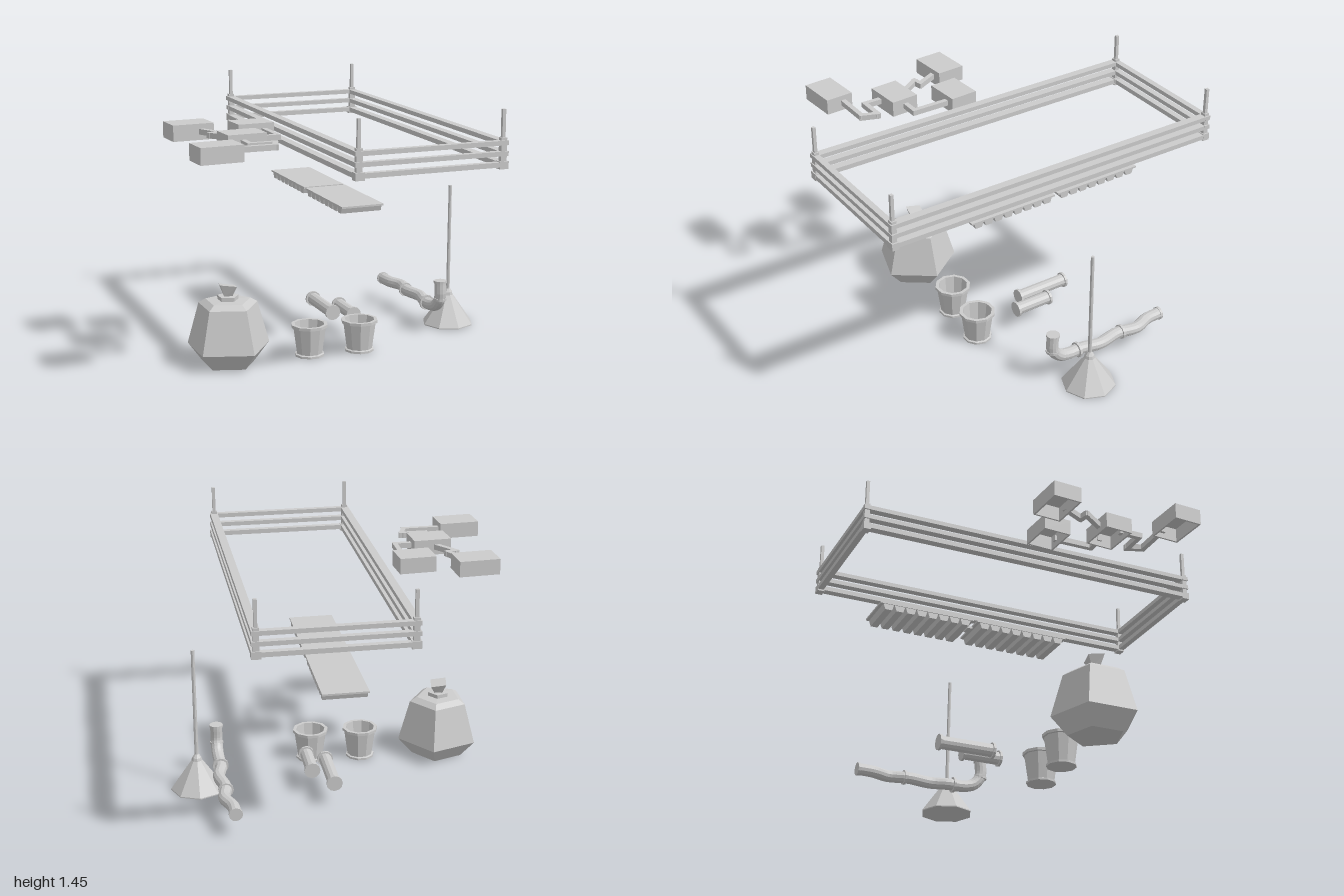
import * as THREE from 'three';

const grey = new THREE.MeshStandardMaterial({ color: 0xcccccc, flatShading: true, side: THREE.DoubleSide });
const V = (x, y, z) => new THREE.Vector3(x, y, z);

function add(parent, name, geometry, x = 0, y = 0, z = 0) {
  const mesh = new THREE.Mesh(geometry, grey);
  mesh.name = name;
  mesh.position.set(x, y, z);
  parent.add(mesh);
  return mesh;
}

function group(parent, name, x = 0, y = 0, z = 0) {
  const g = new THREE.Group();
  g.name = name;
  g.position.set(x, y, z);
  parent.add(g);
  return g;
}

// box given by its lower and upper corners
function block(parent, name, x0, x1, y0, y1, z0, z1) {
  return add(parent, name, new THREE.BoxGeometry(x1 - x0, y1 - y0, z1 - z0),
    (x0 + x1) / 2, (y0 + y1) / 2, (z0 + z1) / 2);
}

// revolved profile with a corner pointing at +x
function turned(parent, name, profile, sides) {
  const points = profile.map(([r, y]) => new THREE.Vector2(r, y));
  return add(parent, name, new THREE.LatheGeometry(points, sides, Math.PI / 2));
}

// rectangular fence: three rails on each side, corner posts and thin poles
function buildFence(root) {
  const fence = group(root, 'railFrame', 0.16, 0, 0);
  const hx = 0.42, hz = 1;
  for (const [y0, y1, w] of [[1.15, 1.176, 0.046], [1.207, 1.231, 0.044], [1.262, 1.286, 0.044]]) {
    for (const s of [-1, 1]) {
      const cx = s * (hx - 0.023), cz = s * (hz - 0.018);
      block(fence, 'sideRail', cx - w / 2, cx + w / 2, y0, y1, -hz + 0.005, hz - 0.005);
      block(fence, 'endRail', -hx, hx, y0, y1, cz - 0.017, cz + 0.017);
    }
  }
  for (const sx of [-1, 1]) for (const sz of [-1, 1]) {
    const x = sx * 0.396, z = sz * 0.98;
    block(fence, 'postFoot', x - 0.025, x + 0.025, 1.14, 1.18, z - 0.02, z + 0.02);
    block(fence, 'cornerPost', x - 0.016, x + 0.016, 1.14, 1.3, z - 0.014, z + 0.014);
    block(fence, 'cornerPole', x - 0.009, x + 0.009, 1.29, 1.445, z - 0.009, z + 0.009);
  }
}

// flat panel with trapezoid ribs across its underside
function buildPanel(root, z0, z1) {
  const panel = group(root, 'ribbedPanel');
  block(panel, 'panelTop', -0.04, 0.205, 0.838, 0.848, z0, z1);
  const n = 8, start = z0 + 0.015, pitch = (z1 - z0 - 0.03) / n;
  for (let i = 0; i < n; i++) {
    const rib = new THREE.Shape();
    const c = pitch / 2;
    rib.moveTo(-c * 0.95, 0.033);
    rib.lineTo(-c * 0.6, 0);
    rib.lineTo(c * 0.6, 0);
    rib.lineTo(c * 0.95, 0.033);
    const geometry = new THREE.ExtrudeGeometry(rib, { depth: 0.235, bevelEnabled: false });
    geometry.rotateY(Math.PI / 2);
    add(panel, 'panelRib', geometry, -0.035, 0.806, start + pitch * (i + 0.5));
  }
}

// room: four walls under a lid, open at the bottom
function buildRoom(parent, [x, z, w, d]) {
  const room = group(parent, 'room', x, 0, z);
  room.rotation.y = 0.06;
  const t = 0.01;
  block(room, 'roomLid', -w / 2, w / 2, 1.285, 1.295, -d / 2, d / 2);
  for (const s of [-1, 1]) {
    const ex = s * (w - t) / 2, ez = s * (d - t) / 2;
    block(room, 'roomSideWall', ex - t / 2, ex + t / 2, 1.207, 1.286, -d / 2, d / 2);
    block(room, 'roomEndWall', -w / 2, w / 2, 1.207, 1.286, ez - t / 2, ez + t / 2);
  }
}

function buildRooms(root) {
  const rooms = group(root, 'linkedRooms');
  for (const spec of [[-0.768, -0.104, 0.23, 0.163], [-0.449, 0, 0.205, 0.16],
    [-0.6, 0.295, 0.215, 0.16], [-0.83, 0.585, 0.23, 0.16]]) buildRoom(rooms, spec);
  // each passage is a chain of straight boxes
  const passages = [
    [[-0.72, -0.03], [-0.66, 0.09], [-0.71, 0.1], [-0.62, 0.23]],
    [[-0.4, 0.07], [-0.4, 0.285], [-0.5, 0.285]],
    [[-0.62, 0.36], [-0.62, 0.472], [-0.48, 0.472], [-0.51, 0.555], [-0.73, 0.555]],
  ];
  for (const path of passages) for (let i = 1; i < path.length; i++) {
    const [ax, az] = path[i - 1], [bx, bz] = path[i];
    const dx = bx - ax, dz = bz - az;
    const leg = add(rooms, 'passage', new THREE.BoxGeometry(0.028, 0.03, Math.hypot(dx, dz) + 0.026),
      (ax + bx) / 2, 1.252, (az + bz) / 2);
    leg.rotation.y = Math.atan2(dx, dz);
  }
}

// tied sack with five sides and a crooked knot
function buildSack(root) {
  const sack = group(root, 'sack', -0.646, 0, 0.16);
  turned(sack, 'sackBody', [[0, 0], [0.15, 0.002], [0.234, 0.1], [0.168, 0.333], [0.128, 0.358], [0, 0.364]], 5);
  turned(sack, 'sackNeck', [[0.06, 0.355], [0.06, 0.383], [0, 0.386]], 5);
  const knot = new THREE.CylinderGeometry(0.062, 0.03, 0.06, 4);
  const p = knot.attributes.position;
  for (let i = 0; i < p.count; i++) {
    if (p.getY(i) > 0) p.setY(i, p.getY(i) - p.getX(i) * 0.2);
  }
  add(sack, 'sackKnot', knot, 0, 0.41, 0).rotation.y = 0.6;
}

// hollow bucket with rims top and bottom
function buildBucket(root, x, z) {
  const bucket = group(root, 'bucket', x, 0, z);
  turned(bucket, 'bucketShell', [[0, 0], [0.083, 0], [0.083, 0.012], [0.073, 0.016], [0.093, 0.163],
    [0.103, 0.165], [0.103, 0.181], [0.084, 0.181], [0.067, 0.02], [0, 0.02]], 10);
}

// ring lying across a pipe that runs along z or y
function collar(parent, x, y, z, alongZ, r = 0.045) {
  const ring = add(parent, 'pipeCollar', new THREE.CylinderGeometry(r, r, 0.014, 12), x, y, z);
  if (alongZ) ring.rotation.x = Math.PI / 2;
}

function buildPipes(root) {
  // short straight pipes
  for (const [x, z0, z1] of [[0.07, -0.41, -0.1], [0.165, -0.235, -0.02]]) {
    const pipe = group(root, 'shortPipe');
    add(pipe, 'pipeBody', new THREE.CylinderGeometry(0.036, 0.036, z1 - z0, 12), x, 0.135, (z0 + z1) / 2)
      .rotation.x = Math.PI / 2;
    collar(pipe, x, 0.135, z0, true);
    collar(pipe, x, 0.135, z1, true);
  }
  // long wavy pipe with an upright end
  const pipe = group(root, 'bentPipe');
  const y = 0.135;
  const path = new THREE.CatmullRomCurve3([V(0.665, 0.305, 0.085), V(0.665, 0.21, 0.085), V(0.665, 0.155, 0.04),
    V(0.662, y, -0.03), V(0.662, y, -0.11), V(0.685, y, -0.22), V(0.662, y, -0.36),
    V(0.682, y, -0.48), V(0.648, y, -0.58), V(0.643, y, -0.675)]);
  add(pipe, 'pipeBody', new THREE.TubeGeometry(path, 40, 0.034, 12));
  collar(pipe, 0.665, 0.304, 0.085, false, 0.038);
  collar(pipe, 0.665, 0.2, 0.085, false, 0.038);
  collar(pipe, 0.662, y, -0.085, true);
  collar(pipe, 0.664, y, -0.385, true, 0.042);
  collar(pipe, 0.643, y, -0.67, true, 0.038);
}

// eight-sided cone with a tall thin pole
function buildPlunger(root) {
  const plunger = group(root, 'conePole', 0.793, 0, -0.07);
  turned(plunger, 'cone', [[0, 0], [0.15, 0], [0.15, 0.006], [0.03, 0.175], [0.026, 0.192], [0.012, 0.212], [0, 0.212]], 8);
  add(plunger, 'pole', new THREE.CylinderGeometry(0.01, 0.011, 0.63, 8), 0, 0.518, 0.003).rotation.x = 0.01;
}

export function createModel() {
  const root = new THREE.Group();
  root.name = 'model';
  buildFence(root);
  buildPanel(root, -0.81, -0.265);
  buildPanel(root, -0.243, 0.302);
  block(root, 'panelLink', 0.035, 0.095, 0.828, 0.84, -0.27, -0.24);
  buildRooms(root);
  buildSack(root);
  buildBucket(root, -0.187, 0.19);
  buildBucket(root, 0.104, 0.21);
  buildPipes(root);
  buildPlunger(root);
  return root;
}
